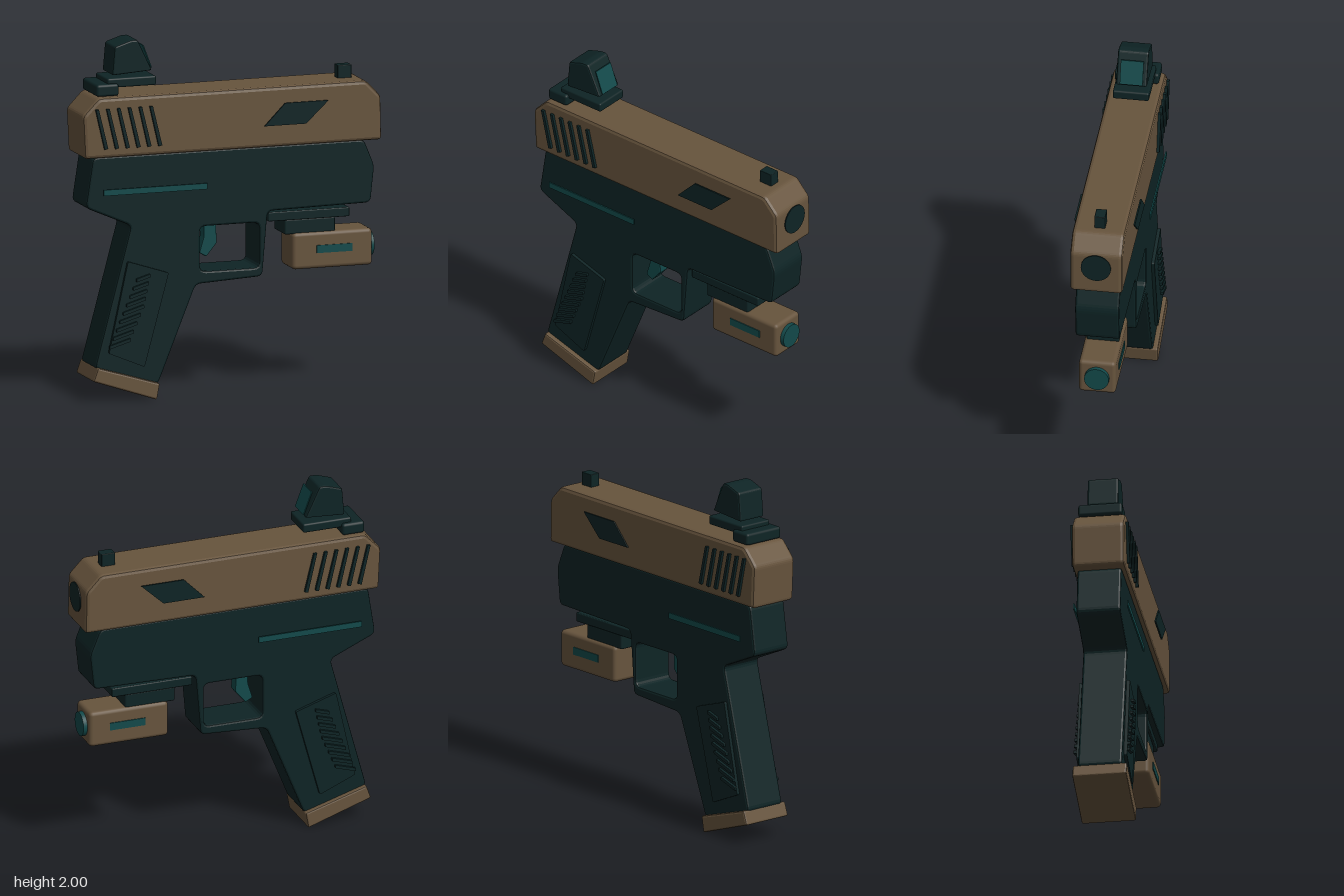
import * as THREE from 'three';
import { RoundedBoxGeometry } from 'three/addons/geometries/RoundedBoxGeometry.js';

const paint = (name, color) => {
  const m = new THREE.MeshStandardMaterial({ color });
  m.name = name;
  return m;
};

// Traces a polygon with its corners rounded by r
function trace(path, pts, r) {
  const v = pts.map(p => new THREE.Vector2(p[0], p[1]));
  v.forEach((p, i) => {
    const a = v[(i + v.length - 1) % v.length], b = v[(i + 1) % v.length];
    const toward = q => p.clone().lerp(q, Math.min(0.4, r / p.distanceTo(q)));
    const s = toward(a), e = toward(b);
    if (i === 0) path.moveTo(s.x, s.y); else path.lineTo(s.x, s.y);
    if (r > 0) path.quadraticCurveTo(p.x, p.y, e.x, e.y);
  });
  path.closePath();
  return path;
}

// Extrudes a side profile symmetrically about z = 0, with bevelled edges
function slab(pts, half, bevel = 0, round = 0, hole = null) {
  const shape = trace(new THREE.Shape(), pts, round);
  if (hole) shape.holes.push(trace(new THREE.Path(), hole, 0.035));
  const geo = new THREE.ExtrudeGeometry(shape, {
    depth: 2 * (half - bevel), curveSegments: 4, bevelEnabled: bevel > 0,
    bevelThickness: bevel, bevelSize: bevel, bevelOffset: -bevel, bevelSegments: 2,
  });
  return geo.translate(0, 0, -(half - bevel));
}

export function createModel() {
  const model = new THREE.Group();
  model.name = 'compactPistol';
  const tan = paint('tan', 0x67543d);
  const dark = paint('darkGreen', 0x0e2425);
  const teal = paint('teal', 0x12494a);

  const add = (name, geo, mat) => {
    const m = new THREE.Mesh(geo, mat);
    m.name = name;
    model.add(m);
    return m;
  };
  const box = (name, x0, x1, y0, y1, half, mat, r = 0.01) => {
    const m = add(name, new RoundedBoxGeometry(x1 - x0, y1 - y0, half * 2, 2, r), mat);
    m.position.set((x0 + x1) / 2, (y0 + y1) / 2, 0);
  };
  // Thin plate repeated on both sides, centred at distance z
  const plates = (name, pts, z, half, mat, round = 0) => {
    for (const s of [1, -1]) {
      add(name + (s > 0 ? 'Front' : 'Back'), slab(pts, half, 0, round), mat).position.z = s * z;
    }
  };

  // Slide
  add('slide', slab([[-0.86, 1.365], [0.857, 1.365], [0.852, 1.61], [0.765, 1.7],
    [-0.78, 1.7], [-0.872, 1.605]], 0.145, 0.02, 0.02), tan);

  // Frame, grip and trigger guard in one piece
  add('frame', slab([[-0.805, 1.37], [-0.848, 1.09], [-0.585, 0.975], [-0.795, 0.19],
    [-0.43, 0.08], [-0.21, 0.625], [0.175, 0.645], [0.205, 1.005], [0.8, 1.015],
    [0.822, 1.22], [0.76, 1.37]], 0.122, 0.012, 0.03,
  [[-0.187, 0.695], [-0.187, 0.945], [0.156, 0.945], [0.156, 0.695]]), dark);

  // Magazine base
  add('magazineBase', slab([[-0.785, 0.2], [-0.812, 0.125], [-0.445, 0.002], [-0.428, 0.092]],
    0.15, 0.01, 0.01), tan);

  // Trigger
  add('trigger', slab([[-0.135, 0.955], [-0.135, 0.87], [-0.162, 0.78], [-0.12, 0.757],
    [-0.06, 0.83], [-0.065, 0.955]], 0.035, 0.006, 0.008), teal);

  // Slide serrations and side windows
  for (let i = 0; i < 6; i++) {
    const x = -0.803 + i * 0.0625;
    plates('serration' + i, [[x, 1.64], [x + 0.052, 1.415], [x + 0.071, 1.42], [x + 0.017, 1.64]],
      0.152, 0.009, dark);
  }
  plates('slideWindow', [[0.17, 1.488], [0.41, 1.488], [0.54, 1.61], [0.29, 1.61]], 0.163, 0.004, dark);

  // Frame stripe
  plates('frameStripe', [[-0.755, 1.157], [-0.155, 1.157], [-0.155, 1.19], [-0.755, 1.19]],
    0.148, 0.004, teal);

  // Grip panels with slanted ridges
  plates('gripPanel', [[-0.61, 0.78], [-0.72, 0.275], [-0.515, 0.188], [-0.375, 0.703]],
    0.13, 0.01, dark, 0.01);
  for (let i = 0; i < 9; i++) {
    const t = i / 8, x = -0.565 - 0.155 * t, y = 0.665 - 0.363 * t, w = 0.08 + 0.04 * Math.min(1, t * 2);
    plates('gripRidge' + i, [[x, y], [x + w, y + w * 0.3], [x + w, y + w * 0.3 + 0.018], [x, y + 0.018]],
      0.148, 0.008, dark, 0.004);
  }

  // Muzzle disc
  const muzzle = add('muzzle', new THREE.CylinderGeometry(0.083, 0.083, 0.006, 32), dark);
  muzzle.rotation.z = -Math.PI / 2;
  muzzle.position.set(0.863, 1.532, 0);

  // Front sight
  box('frontSight', 0.64, 0.72, 1.69, 1.772, 0.03, dark, 0.004);

  // Reflex optic
  box('opticMount', -0.785, -0.655, 1.703, 1.77, 0.122, dark, 0.015);
  box('opticPlate', -0.715, -0.433, 1.745, 1.797, 0.1, dark);
  add('opticHousing', slab([[-0.682, 1.81], [-0.452, 1.825], [-0.535, 2.0], [-0.575, 2.0],
    [-0.668, 1.97]], 0.085, 0.01, 0.012), dark);
  add('opticLens', slab([[-0.452, 1.838], [-0.446, 1.838], [-0.494, 1.965], [-0.5, 1.965]], 0.063), teal);

  // Accessory rail and lamp
  box('rail', 0.215, 0.685, 0.942, 0.993, 0.1, dark, 0.006);
  box('lampMount', 0.313, 0.605, 0.86, 0.945, 0.09, dark);
  box('lampBody', 0.355, 0.817, 0.663, 0.868, 0.102, tan, 0.022);
  const lens = add('lampLens', new THREE.CylinderGeometry(0.068, 0.068, 0.04, 32), teal);
  lens.rotation.z = -Math.PI / 2;
  lens.position.set(0.82, 0.768, 0);
  plates('lampStripe', [[0.492, 0.75], [0.7, 0.75], [0.7, 0.793], [0.492, 0.793]], 0.103, 0.004, teal);

  return model;
}
